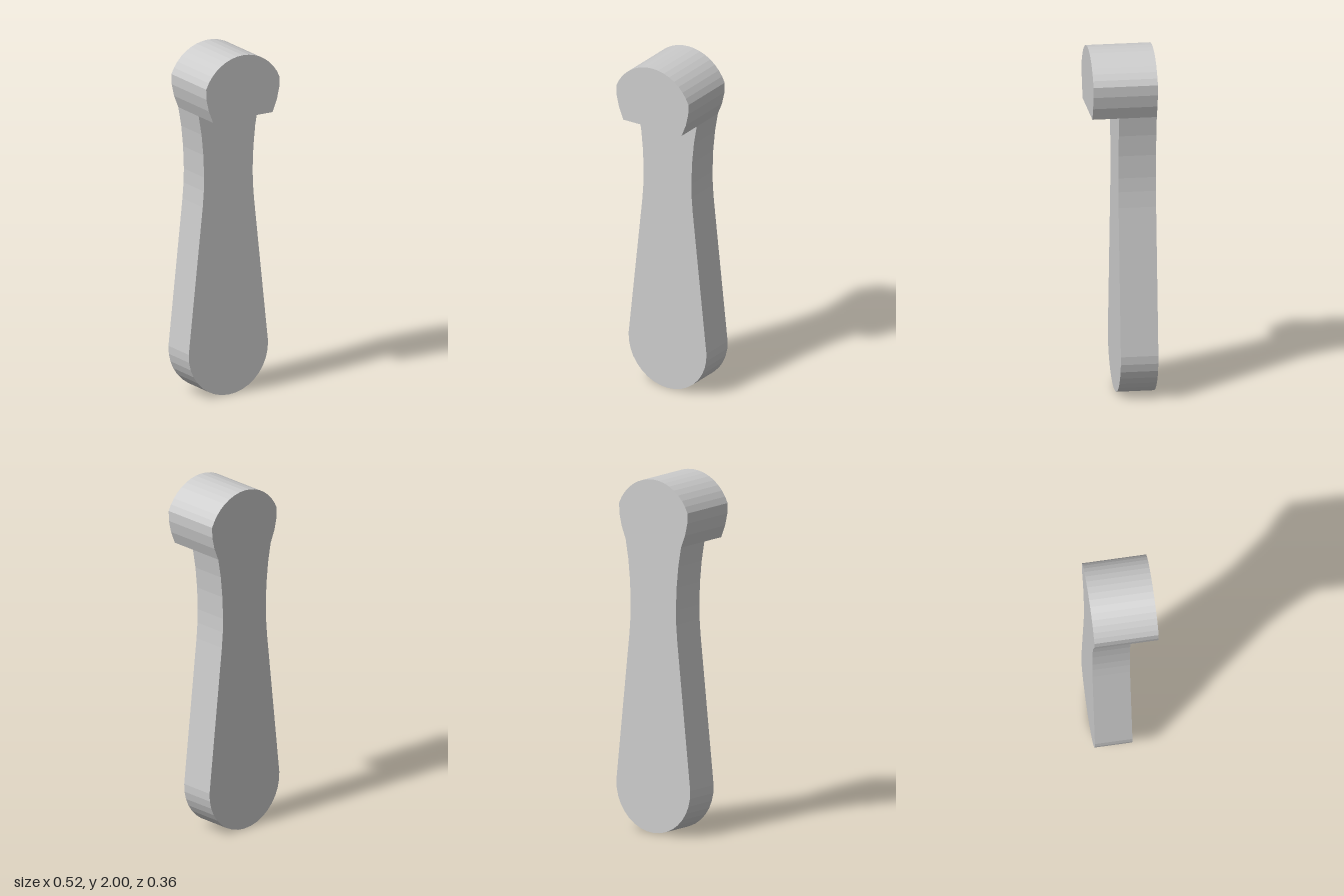
import * as THREE from 'three';

const BACK = -0.18, STEP = 0.03, FRONT = 0.18;

// Points on an arc centred on x = 0, angles in radians
function arc(cy, r, from, to, n) {
  return Array.from({ length: n + 1 }, (_, i) => {
    const a = from + (to - from) * i / n;
    return [r * Math.cos(a), cy + r * Math.sin(a)];
  });
}

// Mirror a right-hand profile (bottom to top) into a closed shape
function mirroredShape(half) {
  const left = half.filter(([x]) => x > 1e-4).map(([x, y]) => [-x, y]).reverse();
  return new THREE.Shape([...half, ...left].map(([x, y]) => new THREE.Vector2(x, y)));
}

function slab(name, half, z0, z1, material) {
  const geometry = new THREE.ExtrudeGeometry(mirroredShape(half), { depth: z1 - z0, bevelEnabled: false });
  geometry.translate(0, 0, z0);
  const mesh = new THREE.Mesh(geometry, material);
  mesh.name = name;
  return mesh;
}

export function createModel() {
  const group = new THREE.Group();
  group.name = 'handle';
  const material = new THREE.MeshStandardMaterial({ color: 0xcccccc, flatShading: true });

  // Half outlines: rounded foot, tapering shaft with a waist, rounded head
  const foot = arc(0.26, 0.26, -Math.PI / 2, 0.04, 9);
  const shaft = [[0.168, 1.11], [0.161, 1.2], [0.159, 1.28], [0.164, 1.41], [0.176, 1.53]];
  const head = [[0.195, 1.64], [0.223, 1.71], [0.239, 1.78], ...arc(1.74, 0.26, 0.39, Math.PI / 2, 8)];

  // Full-length lever
  group.add(slab('lever', [...foot, ...shaft, ...head], BACK, STEP, material));
  // Raised head block, flat underneath
  group.add(slab('headBlock', head, STEP, FRONT, material));
  return group;
}
